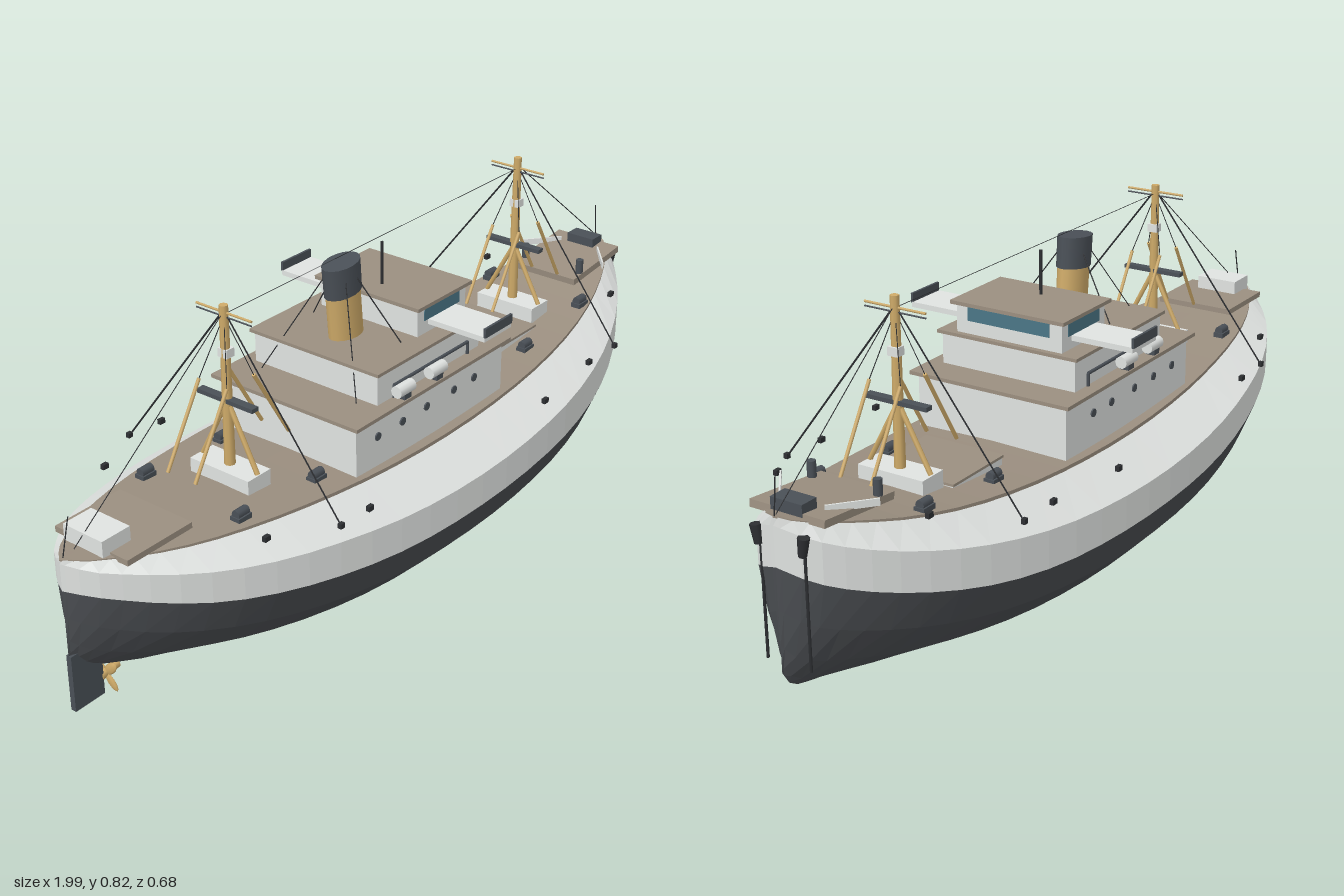
import * as THREE from 'three';

const mat = (name, color, side = THREE.FrontSide) => new THREE.MeshStandardMaterial({ name, color, side });

export function createModel() {
  const ship = new THREE.Group();
  ship.name = 'ship';
  const charcoal = mat('charcoal hull', 0x4a4d51, THREE.DoubleSide);
  const white = mat('white paint', 0xe0e3e1, THREE.DoubleSide);
  const deckBrown = mat('deck brown', 0x9b8f80, THREE.DoubleSide);
  const tan = mat('tan spars', 0xcfab69);
  const teal = mat('teal glass', 0x4b7686);
  const slate = mat('slate fittings', 0x4a5057);
  const black = mat('black rigging', 0x2d2f32);

  const add = (name, geo, material, x = 0, y = 0, z = 0, parent = ship) => {
    const m = new THREE.Mesh(geo, material);
    m.name = name;
    m.position.set(x, y, z);
    parent.add(m);
    return m;
  };
  // Box given by its extents along each axis
  const box = (name, material, x0, x1, y0, y1, z0, z1) =>
    add(name, new THREE.BoxGeometry(x1 - x0, y1 - y0, z1 - z0), material,
      (x0 + x1) / 2, (y0 + y1) / 2, (z0 + z1) / 2);
  // Round bar between two points
  const bar = (name, material, a, b, r, sides = 6, r2 = r) => {
    const p = new THREE.Vector3(...a), q = new THREE.Vector3(...b), d = q.clone().sub(p);
    const m = add(name, new THREE.CylinderGeometry(r2, r, d.length(), sides), material);
    m.position.copy(p).add(q).multiplyScalar(0.5);
    m.quaternion.setFromUnitVectors(new THREE.Vector3(0, 1, 0), d.normalize());
    return m;
  };
  const sides = (fn) => [1, -1].forEach(fn);

  // Hull lines: keel, paint line, knuckle, deck heights and half beam along x
  const stationX = [-1, -.97, -.92, -.85, -.75, -.62, -.45, -.25, 0, .25, .45, .62, .75, .85, .92, .97, .99];
  const lines = [
    .2, .36, .425, .435, 0,
    .165, .352, .412, .43, .05,
    .135, .337, .4, .424, .1,
    .105, .316, .385, .415, .155,
    .08, .29, .365, .404, .21,
    .052, .265, .345, .393, .257,
    .026, .24, .325, .38, .295,
    .007, .22, .305, .367, .32,
    0, .212, .295, .36, .33,
    .005, .214, .3, .365, .321,
    .018, .225, .315, .378, .298,
    .035, .247, .34, .397, .26,
    .052, .275, .367, .42, .213,
    .07, .303, .395, .444, .16,
    .086, .328, .42, .462, .108,
    .108, .355, .447, .476, .052,
    .14, .375, .465, .485, 0];
  const interp = new THREE.CubicInterpolant(stationX, lines, 5);
  const at = (x) => Array.from(interp.evaluate(x));
  const deckY = (x) => at(x)[3] + .006;

  // Surface through cross-sections; section gives [y, z] points across the ship
  const skin = (name, material, section) => {
    const N = 32, pos = [];
    const rings = Array.from({ length: N + 1 }, (_, i) => {
      const x = -.005 - .995 * Math.cos(Math.PI * i / N);
      return section(...at(x)).map(([y, z]) => [x, y, z]);
    });
    for (let i = 0; i < N; i++) {
      for (let j = 0; j < rings[i].length - 1; j++) {
        const a = rings[i][j], b = rings[i + 1][j], c = rings[i + 1][j + 1], d = rings[i][j + 1];
        pos.push(...a, ...b, ...c, ...a, ...c, ...d);
      }
    }
    const g = new THREE.BufferGeometry();
    g.setAttribute('position', new THREE.Float32BufferAttribute(pos, 3));
    g.computeVertexNormals();
    add(name, g, material);
  };
  // Round bilge amidships, sharpening to a V towards both ends
  const bilge = [[1, 1], [.6, .895], [.26, .68], [.07, .4], [0, 0]];
  skin('lowerHull', charcoal, (k, p, n, t, b) => {
    const vee = 1 + 1.5 * (1 - Math.min(1, b / .33));
    const half = bilge.map(([h, w]) => [k + (p - k) * h, b * w ** vee]);
    return [...half, ...half.slice(0, -1).reverse().map(([y, z]) => [y, -z])].reverse();
  });
  sides((s) => skin('upperHull', white, (k, p, n, t, b) => {
    const pts = [[p, b * s], [n, b * s], [t, b * .68 * s]];
    return s > 0 ? pts : pts.reverse();
  }));
  // Cambered deck with a shallow vertical edge
  skin('deck', deckBrown, (k, p, n, t, b) => {
    const edge = t + .025 * b, crown = t + .04 * b, w = b * .685;
    return [[t - .003, w], [edge, w], [crown, 0], [edge, -w], [t - .003, -w]];
  });

  // Superstructure tiers with overhanging roofs
  const tier = (name, x0, x1, y0, y1, z, over, roof) => {
    box(name, white, x0, x1, y0, y1, -z, z);
    box(name + 'Roof', deckBrown, x0 - over, x1 + over, y1, y1 + roof, -z - over, z + over);
  };
  tier('lowerHouse', -.31, .245, .34, .5, .2, .015, .009);
  tier('middleHouse', -.21, .175, .5, .584, .18, .009, .008);
  tier('wheelhouse', -.015, .17, .59, .66, .142, .011, .009);
  box('frontWindow', teal, .17, .173, .624, .657, -.11, .11);
  sides((s) => {
    box('sideWindow', teal, .01, .145, .624, .654, s * .1425 - .001, s * .1425 + .001);
    box('bridgeWing', white, .025, .13, .611, .624, s * .22 - .08, s * .22 + .08);
    box('wingScreen', slate, .025, .13, .622, .645, s * .3 - .003, s * .3 + .003);
    for (const x of [-.235, -.145, -.055, .05, .13]) {
      add('porthole', new THREE.CylinderGeometry(.01, .01, .005, 10), slate, x, .45, s * .201).rotation.x = Math.PI / 2;
    }
    // Raft canisters beside the middle house
    for (const x of [-.14, -.02]) {
      add('raftCanister', new THREE.CylinderGeometry(.015, .015, .055, 10), white, x, .531, s * .2).rotation.z = Math.PI / 2;
      box('raftCradle', slate, x - .012, x + .012, .508, .522, s * .2 - .012, s * .2 + .012);
    }
    bar('handrail', slate, [-.155, .54, s * .184], [.125, .54, s * .184], .004);
    for (const x of [-.155, .125]) bar('railPost', slate, [x, .507, s * .184], [x, .54, s * .184], .004);
  });
  bar('signalMast', black, [.035, .668, 0], [.035, .775, 0], .004);

  // Raked oval funnel
  const funnel = new THREE.Group();
  funnel.name = 'funnel';
  funnel.position.set(-.098, .588, 0);
  funnel.rotation.z = .09;
  funnel.scale.z = .65;
  ship.add(funnel);
  add('funnelTrunk', new THREE.CylinderGeometry(.05, .05, .12, 16), tan, 0, .06, 0, funnel);
  add('funnelTop', new THREE.CylinderGeometry(.055, .054, .075, 16), slate, 0, .151, 0, funnel);
  sides((s) => {
    bar('funnelStay', black, [-.13, .75, s * .025], [-.235, .512, s * .14], .0015, 4);
    bar('funnelStay', black, [-.1, .75, s * .025], [-.06, .592, s * .13], .0015, 4);
  });

  // Masts with houses, crosstrees, derrick booms and shrouds
  for (const [mx, top] of [[-.5, .81], [.585, .82]]) {
    const base = deckY(mx);
    bar('mast', tan, [mx, base, 0], [mx, top, 0], .013, 8, .01);
    box('mastHouse', white, mx - .036, mx + .036, base - .01, base + .04, -.085, .085);
    box('crosstree', slate, mx - .01, mx + .01, .582, .592, -.08, .08);
    bar('upperYard', tan, [mx, .793, -.078], [mx, .793, .078], .003);
    bar('lowerYard', slate, [mx, .783, -.078], [mx, .783, .078], .002);
    box('mastLight', white, mx - .01, mx + .014, .69, .71, -.013, .013);
    sides((s) => {
      bar('mastLeg', tan, [mx, .585, 0], [mx, base + .04, s * .08], .006);
      bar('shroud', black, [mx, .785, s * .01], [mx, .39, s * .313], .0022, 4);
      box('shroudFoot', black, mx - .006, mx + .006, .386, .398, s * .313 - .005, s * .313 + .005);
      sides((e) => {
        bar('derrickBoom', tan, [mx + e * .15, .46, s * .04], [mx + e * .042, .642, s * .04], .0045);
        bar('toppingLift', black, [mx, .785, 0], [mx + e * .042, .642, s * .04], .0012, 4);
      });
    });
  }
  bar('aerialWire', black, [-.5, .788, 0], [.585, .792, 0], .0008, 4);
  bar('foreStay', black, [.585, .8, 0], [.98, .485, 0], .0013, 4);
  bar('backStay', black, [-.5, .795, 0], [-.96, .44, 0], .0013, 4);
  bar('bowStaff', black, [.985, .48, 0], [.975, .57, 0], .0018, 4);
  bar('sternStaff', black, [-.99, .435, 0], [-.968, .52, 0], .0018, 4);

  // Fore hatch and raised end platforms
  box('foreHatchCoaming', white, .352, .538, .37, .399, -.102, .102);
  box('foreHatchCover', deckBrown, .35, .54, .399, .405, -.105, .105);
  box('sternPlatform', deckBrown, -.915, -.73, .418, .432, -.105, .105);
  box('sternLocker', white, -.935, -.857, .42, .466, -.056, .056);
  const forecastle = box('forecastlePlatform', deckBrown, .73, .95, .455, .472, -.095, .095);
  forecastle.rotation.z = .1;
  box('windlass', slate, .905, .95, .475, .502, -.04, .04);

  sides((s) => {
    // Deck winches, bollards and fairleads
    for (const x of [-.62, -.375, .44, .69]) {
      const y = deckY(x);
      box('winchBed', slate, x - .02, x + .02, y, y + .012, s * .14 - .013, s * .14 + .013);
      add('winchDrum', new THREE.CylinderGeometry(.011, .011, .034, 8), slate, x, y + .017, s * .14).rotation.z = Math.PI / 2;
    }
    add('bollard', new THREE.CylinderGeometry(.01, .01, .04, 8), slate, .77, .482, s * .085);
    for (const [x, y, z] of [[-.65, .405, .237], [-.4, .386, .31], [.24, .386, .333], [.47, .39, .31], [.75, .442, .196]]) {
      box('fairlead', black, x - .008, x + .008, y - .006, y + .006, s * z - .005, s * z + .005);
    }
    // Bow breakwater, anchors and chains
    const screen = box('breakwater', white, .805, .915, .472, .488, s * .092 - .002, s * .092 + .002);
    screen.rotation.y = s * .69;
    const anchor = add('anchor', new THREE.CylinderGeometry(.013, .009, .042, 8), black, .973, .427, s * .058);
    anchor.rotation.x = s * .12;
    bar('anchorChain', black, [.967, .148, s * .056], [.967, .42, s * .056], .0035, 5);
  });

  // Rudder and propeller
  box('rudder', slate, -1, -.917, .062, .2, -.007, .007);
  bar('propellerShaft', tan, [-.92, .105, 0], [-.87, .11, 0], .01, 8);
  for (let i = 0; i < 4; i++) {
    const a = Math.PI / 4 + i * Math.PI / 2;
    const blade = add('propellerBlade', new THREE.SphereGeometry(1, 8, 6), tan,
      -.905, .105 + Math.cos(a) * .024, Math.sin(a) * .024);
    blade.scale.set(.004, .024, .012);
    blade.rotation.x = a;
  }
  return ship;
}
